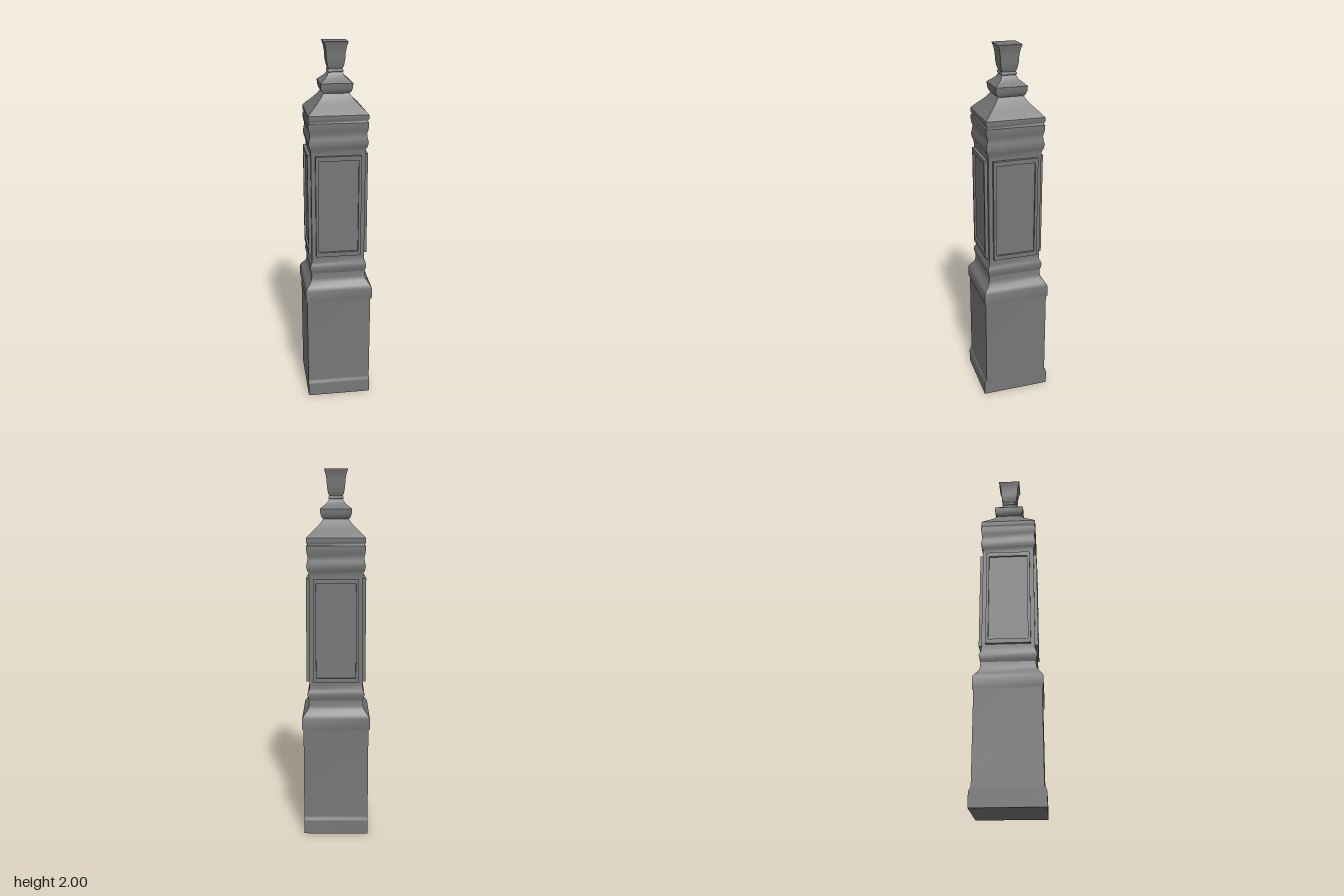
import * as THREE from 'three';

// Square moulding: each row is [y, half width in x, optional half depth in z].
// The four sides are separate strips, so corners stay sharp and profiles stay smooth.
function squareMoulding(rows) {
  const pos = [], index = [];
  for (let s = 0; s < 4; s++) {
    const start = pos.length / 3;
    for (const [y, hx, hz = hx] of rows) {
      const c = [[-hx, hz], [hx, hz], [hx, -hz], [-hx, -hz]];
      const p = c[s], q = c[(s + 1) % 4];
      pos.push(p[0], y, p[1], q[0], y, q[1]);
    }
    for (let i = 0; i < rows.length - 1; i++) {
      const a = start + 2 * i;
      index.push(a, a + 1, a + 3, a, a + 3, a + 2);
    }
  }
  const g = new THREE.BufferGeometry();
  g.setAttribute('position', new THREE.Float32BufferAttribute(pos, 3));
  g.setIndex(index);
  g.computeVertexNormals();
  return g;
}

function rectangle(shape, hw, y0, y1) {
  shape.moveTo(-hw, y0);
  shape.lineTo(hw, y0);
  shape.lineTo(hw, y1);
  shape.lineTo(-hw, y1);
  shape.closePath();
  return shape;
}

export function createModel() {
  const group = new THREE.Group();
  const paint = new THREE.MeshStandardMaterial({ color: 0x777777 });
  paint.name = 'grey paint';
  const add = (name, geometry, parent = group) => {
    const mesh = new THREE.Mesh(geometry, paint);
    mesh.name = name;
    parent.add(mesh);
    return mesh;
  };

  // Plinth: the foot flares to the front and back only
  add('plinth', squareMoulding([
    [0, 0.178, 0.192], [0.075, 0.178, 0.192], [0.085, 0.178, 0.189], [0.1, 0.178, 0.179],
    [0.6, 0.178], [0.612, 0.185], [0.672, 0.185],
    [0.69, 0.174], [0.715, 0.155], [0.735, 0.149], [0.765, 0.147],
  ]));
  add('underside', new THREE.PlaneGeometry(0.356, 0.384).rotateX(Math.PI / 2));

  // Shaft with a bead at the foot and mouldings at the head
  add('shaft', squareMoulding([
    [0.765, 0.147], [0.78, 0.152], [0.8, 0.156], [0.818, 0.152], [0.83, 0.145], [0.86, 0.144],
    [1.44, 0.144], [1.465, 0.146], [1.475, 0.152], [1.5, 0.157], [1.525, 0.152],
    [1.545, 0.149], [1.565, 0.154], [1.585, 0.157], [1.605, 0.157],
  ]));

  // Cap: grooved rim, swept roof and neck block
  add('capRim', squareMoulding([[1.605, 0.157], [1.608, 0.152], [1.618, 0.153], [1.623, 0.157], [1.645, 0.157]]));
  add('capRoof', squareMoulding([[1.645, 0.157], [1.665, 0.138], [1.69, 0.112], [1.715, 0.088], [1.742, 0.068]]));
  add('neckBlock', squareMoulding([[1.742, 0.068], [1.752, 0.077], [1.77, 0.083], [1.795, 0.085]]));
  add('neckRoof', squareMoulding([[1.795, 0.085], [1.808, 0.069], [1.825, 0.048], [1.845, 0.036]]));

  // Finial
  add('finialCollar', squareMoulding([[1.845, 0.036], [1.849, 0.041], [1.857, 0.041], [1.862, 0.036]]));
  add('finial', squareMoulding([
    [1.862, 0.036], [1.88, 0.043], [1.91, 0.048], [1.945, 0.05], [1.975, 0.055], [2, 0.063],
  ]));
  add('finialTop', new THREE.PlaneGeometry(0.126, 0.126).rotateX(-Math.PI / 2).translate(0, 2, 0));

  // A raised frame with a sunken field on each side
  const frameShape = rectangle(new THREE.Shape(), 0.122, 0.868, 1.432);
  frameShape.holes.push(rectangle(new THREE.Path(), 0.107, 0.893, 1.407));
  const frame = new THREE.ExtrudeGeometry(frameShape, { depth: 0.018, bevelEnabled: false }).translate(0, 0, 0.143);
  const field = new THREE.BoxGeometry(0.214, 0.514, 0.008).translate(0, 1.15, 0.146);
  for (let i = 0; i < 4; i++) {
    const panel = new THREE.Group();
    panel.name = ['frontPanel', 'leftPanel', 'backPanel', 'rightPanel'][i];
    add('panelFrame', frame, panel);
    add('panelField', field, panel);
    panel.rotation.y = i * Math.PI / 2;
    group.add(panel);
  }
  return group;
}
